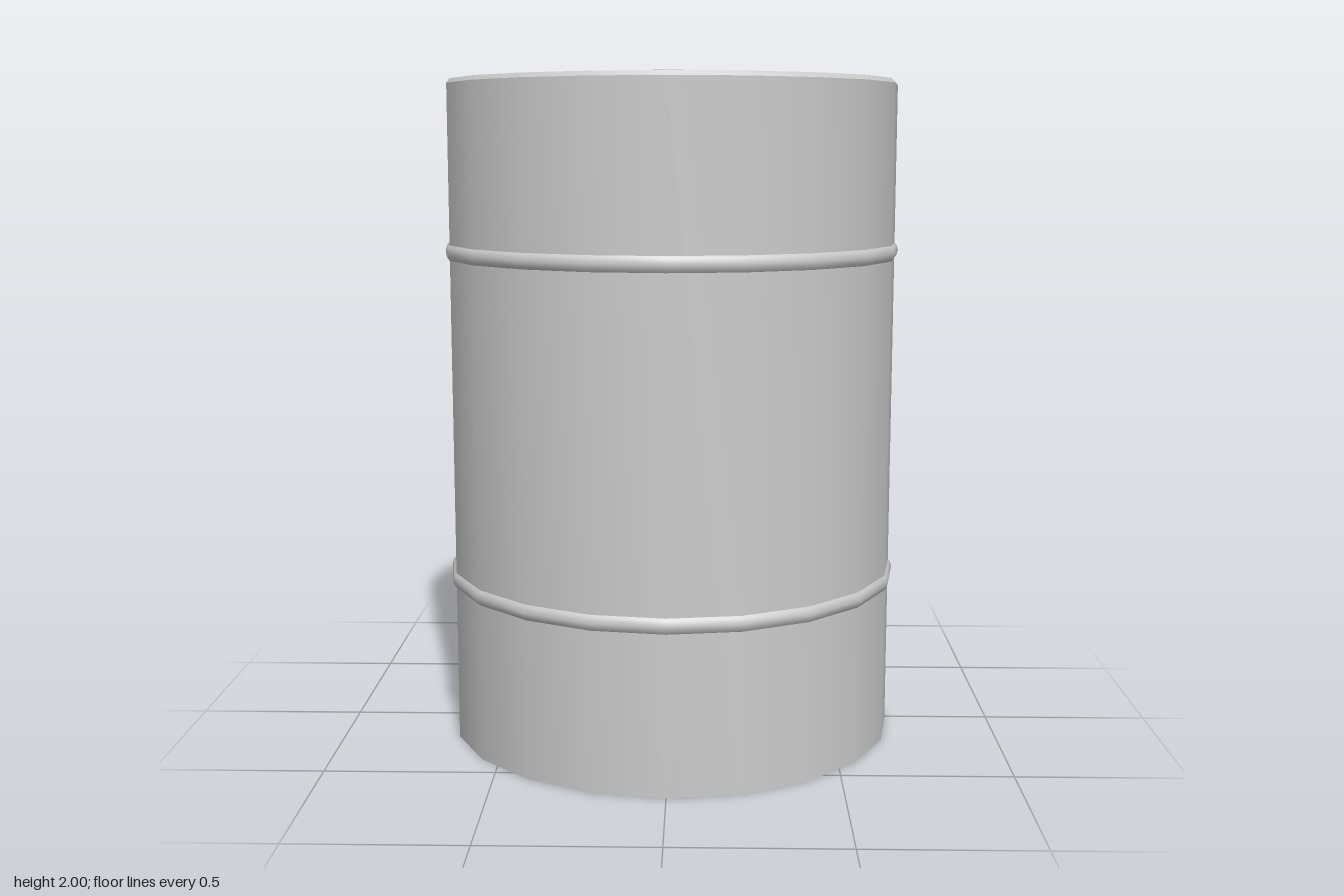
import * as THREE from 'three';
import { toCreasedNormals } from 'three/addons/utils/BufferGeometryUtils.js';

const SIDES = 20;
const LID_Y = 1.95;

export function createModel() {
  const model = new THREE.Group();
  model.name = 'drum';
  const material = new THREE.MeshStandardMaterial({ color: 0xcccccc });

  // Turn a profile of [radius, height] pairs, listed from the bottom up the outside.
  function turned(name, profile, sides, crease = 0.6) {
    const points = profile.map(([r, y]) => new THREE.Vector2(r, y));
    const geometry = toCreasedNormals(new THREE.LatheGeometry(points, sides), crease);
    const mesh = new THREE.Mesh(geometry, material);
    mesh.name = name;
    model.add(mesh);
    return mesh;
  }

  // Closed shell with a rolled rim and a sunken lid
  turned('body', [
    [0, 0], [0.68, 0], [0.68, 1.977], [0.67, 1.99], [0.652, 1.99],
    [0.642, 1.977], [0.642, LID_Y], [0, LID_Y],
  ], SIDES);

  // Two rolled hoops around the shell
  for (const [name, y] of [['lowerHoop', 0.495], ['upperHoop', 1.485]]) {
    turned(name, [
      [0.677, y - 0.026], [0.686, y - 0.016], [0.691, y],
      [0.686, y + 0.016], [0.677, y + 0.026],
    ], SIDES, 1.0);
  }

  // Stepped filler cap near the front edge of the lid
  const cap = turned('fillerCap', [
    [0.072, 0], [0.078, 0.006], [0.078, 0.022], [0.072, 0.028],
    [0.058, 0.028], [0.058, 0.05], [0, 0.05],
  ], 32);
  cap.position.set(0, LID_Y, 0.432);

  return model;
}
